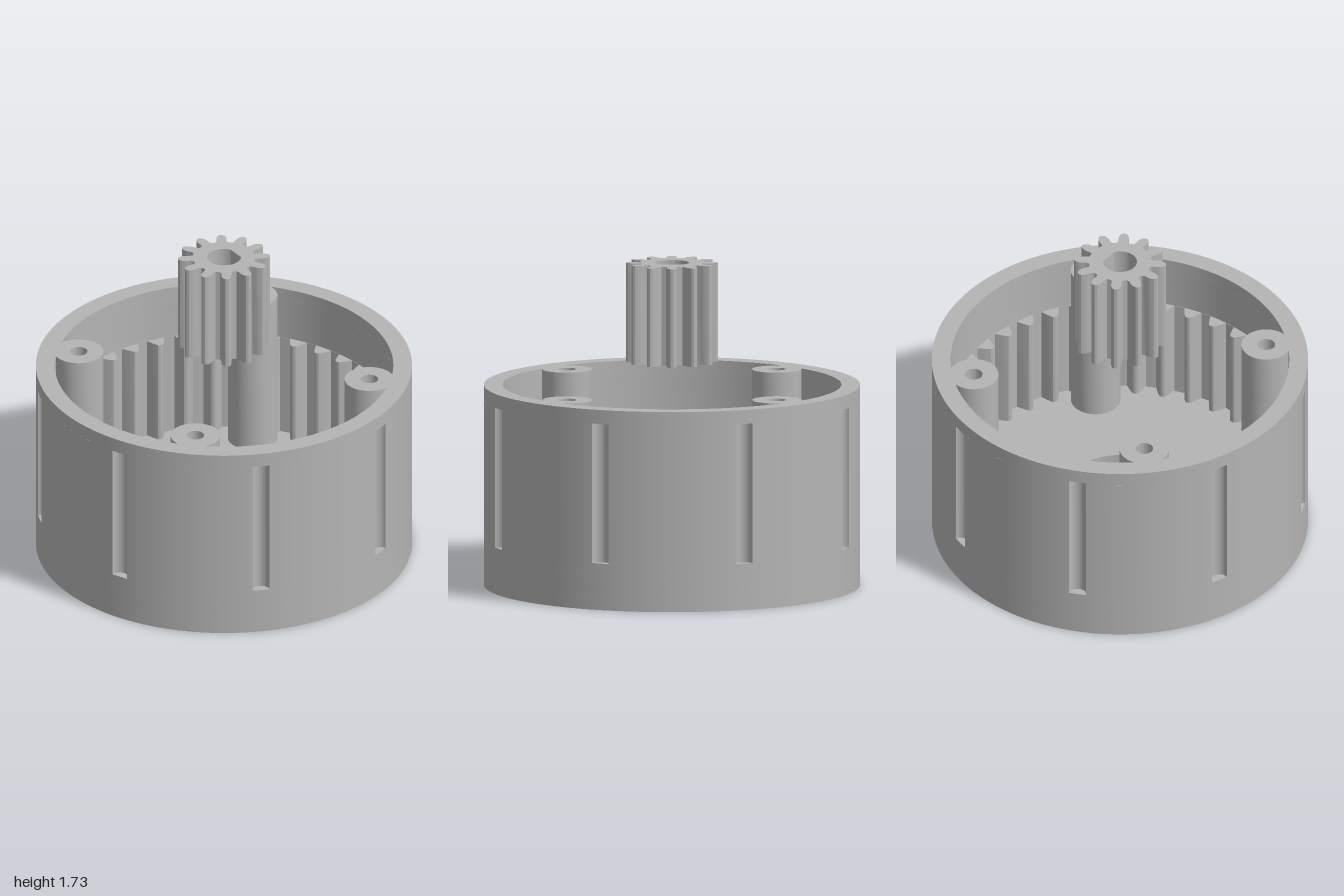
import * as THREE from 'three';
import { toCreasedNormals } from 'three/addons/utils/BufferGeometryUtils.js';

const grey = new THREE.MeshStandardMaterial({ color: 0xb4b4b4 });
grey.name = 'grey plastic';

const circle = (r, x = 0, y = 0, Type = THREE.Path) => new Type().absarc(x, y, r, 0, Math.PI * 2, false);
const disc = (r, holes = [], x = 0, y = 0) => {
  const s = circle(r, x, y, THREE.Shape);
  s.holes.push(...holes);
  return s;
};

// Upright prism of a plan shape between two heights
function slab(name, shape, y0, y1, segments = 64) {
  let g = new THREE.ExtrudeGeometry(shape, { depth: y1 - y0, bevelEnabled: false, curveSegments: segments });
  g.rotateX(-Math.PI / 2);
  g = toCreasedNormals(g, 0.45);
  const m = new THREE.Mesh(g, grey);
  m.name = name;
  m.position.y = y0;
  return m;
}

// Gear outline: flank is a list of [radius, half angle] from root to tip
function gearPoints(count, flank) {
  const pts = [];
  const add = (r, a) => pts.push(new THREE.Vector2(r * Math.cos(a), r * Math.sin(a)));
  for (let i = 0; i < count; i++) {
    const a = (i / count) * Math.PI * 2;
    flank.forEach(([r, h]) => add(r, a - h));
    [...flank].reverse().forEach(([r, h]) => add(r, a + h));
  }
  return pts;
}

// Wall plan with eight half-round grooves around the outside
function groovedRing(inner, grooveR) {
  const s = new THREE.Shape();
  const d = 2 * Math.asin(grooveR / 2);
  for (let i = 0; i < 8; i++) {
    const a = ((i + 0.5) * Math.PI) / 4;
    s.absarc(0, 0, 1, a - Math.PI / 4 + d, a - d, false);
    s.absarc(Math.cos(a), Math.sin(a), grooveR, a - Math.PI / 2 - d / 2, a + Math.PI / 2 + d / 2 - Math.PI * 2, true);
  }
  s.holes.push(circle(inner));
  return s;
}

export function createModel() {
  const model = new THREE.Group();
  model.name = 'planetaryGearHousing';

  const FLOOR = 0.21, GEAR_TOP = 0.78, TOP = 1.075, B = 0.557;
  const corners = [[B, B], [-B, B], [-B, -B], [B, -B]];
  const screwHoles = () => corners.map(([x, y]) => circle(0.053, x, y));

  // Housing: floor with a stepped centre bore, then the wall
  const housing = new THREE.Group();
  housing.name = 'housing';
  housing.add(
    slab('baseRecess', disc(1, [circle(0.4), ...screwHoles()]), 0, 0.09),
    slab('floor', disc(1, [circle(0.29), ...screwHoles()]), 0.09, FLOOR),
    slab('lowerWall', disc(1, [circle(0.9)]), FLOOR, 0.25),
    slab('groovedWall', groovedRing(0.9, 0.047), 0.25, 1.0, 48),
    slab('rim', disc(1, [circle(0.9)]), 1.0, TOP),
  );

  // Screw bosses: solid below, drilled from the top
  corners.forEach(([x, y]) => {
    housing.add(
      slab('bossBase', disc(0.132, [], x, y), FLOOR, GEAR_TOP, 24),
      slab('boss', disc(0.132, [circle(0.047, x, y)], x, y), GEAR_TOP, TOP, 24),
    );
  });
  model.add(housing);

  // Internal ring gear set into the wall
  const ringTeeth = gearPoints(36, [[0.898, 0.056], [0.87, 0.042], [0.845, 0.027], [0.833, 0.017], [0.829, 0.007]]);
  model.add(slab('ringGear', disc(0.93, [new THREE.Path(ringTeeth)]), FLOOR, GEAR_TOP));

  // Sun pinion floating above, with a D-shaped bore
  const pinion = new THREE.Shape(gearPoints(12, [
    [0.167, 0.19], [0.18, 0.148], [0.2, 0.14], [0.22, 0.118], [0.237, 0.076], [0.245, 0.03],
  ]));
  const flat = Math.acos(0.075 / 0.09);
  const bore = new THREE.Path().absarc(0, 0, 0.09, flat, Math.PI * 2 - flat, false);
  bore.closePath();
  pinion.holes.push(bore);
  model.add(slab('sunPinion', pinion, 1.2, 1.73, 24));

  return model;
}
